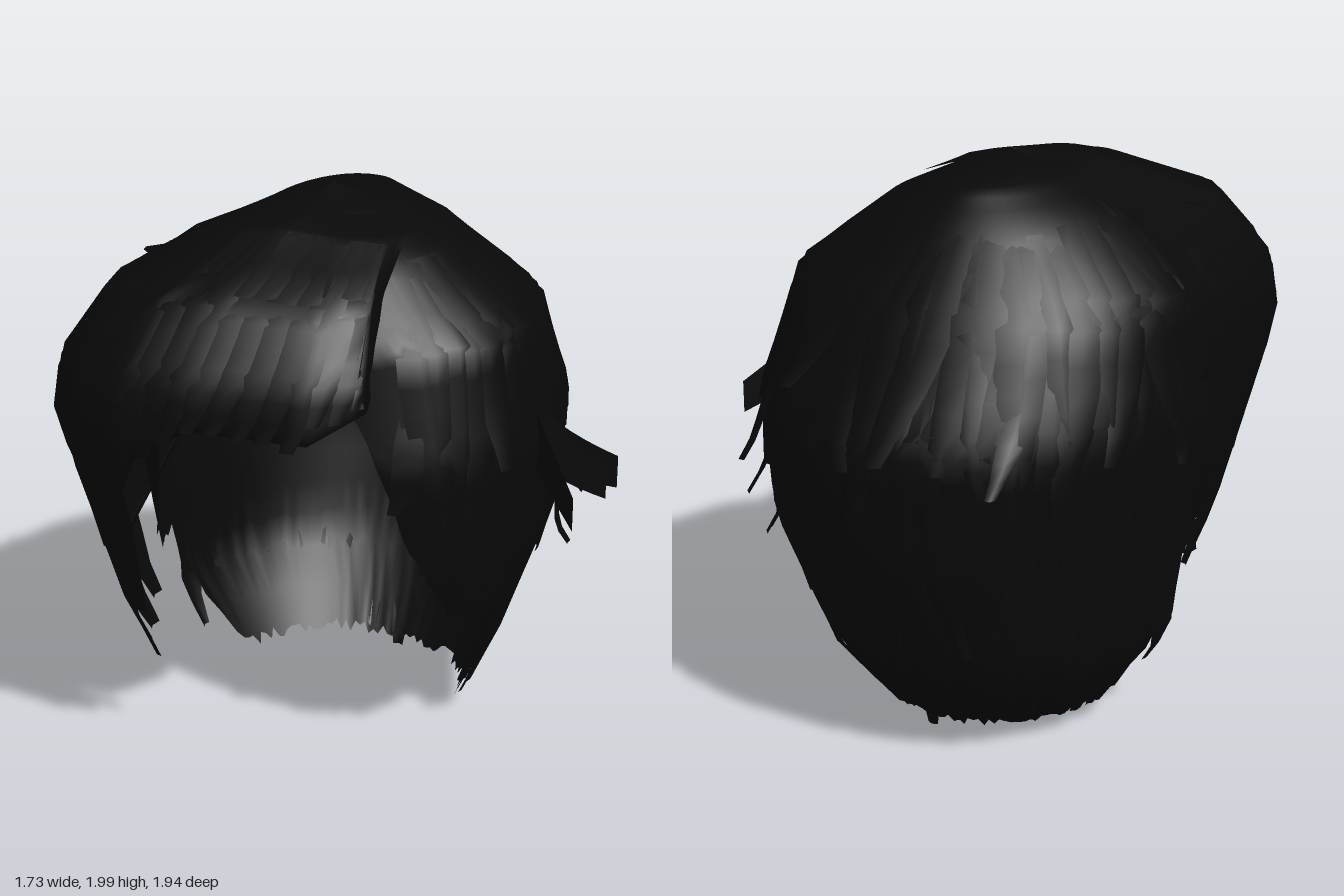
import * as THREE from 'three';

const hair = new THREE.MeshStandardMaterial({ color: 0x080808, side: THREE.DoubleSide });
hair.name = 'black hair';

let seed = 7;
const rand = (a, b) => {
  seed = (seed * 16807) % 2147483647;
  return a + (b - a) * (seed / 2147483647);
};

// Linear interpolation in rows sorted by their first column
function table(rows, k) {
  let i = 0;
  while (i < rows.length - 2 && k > rows[i + 1][0]) i++;
  const a = rows[i], b = rows[i + 1];
  const t = THREE.MathUtils.clamp((k - a[0]) / (b[0] - a[0]), 0, 1);
  return a.slice(1).map((v, j) => v + (b[j + 1] - v) * t);
}

// Smooth sheet through f(u, v), u and v from 0 to 1
function sheet(name, nu, nv, f) {
  const pos = [], idx = [];
  for (let i = 0; i <= nu; i++)
    for (let j = 0; j <= nv; j++) pos.push(...f(i / nu, j / nv).toArray());
  for (let i = 0; i < nu; i++)
    for (let j = 0; j < nv; j++) {
      const a = i * (nv + 1) + j, b = a + nv + 1;
      idx.push(a, a + 1, b, b, a + 1, b + 1);
    }
  const g = new THREE.BufferGeometry();
  g.setAttribute('position', new THREE.Float32BufferAttribute(pos, 3));
  g.setIndex(idx);
  g.computeVertexNormals();
  const m = new THREE.Mesh(g, hair);
  m.name = name;
  return m;
}

// Cap cross-sections: y, right x, left x, back z, front z
const CAP = [
  [0.05, -0.52, 0.34, -0.47, 0.3], [0.35, -0.73, 0.48, -0.75, 0.45], [0.8, -0.77, 0.64, -0.9, 0.6],
  [1.2, -0.83, 0.68, -0.92, 0.64], [1.6, -0.75, 0.61, -0.7, 0.58], [1.84, -0.49, 0.3, -0.48, 0.42],
  [1.95, -0.29, 0.06, -0.33, 0.23], [1.98, -0.1, -0.1, 0, 0],
];
// Lower edge of the cap: degrees away from the front, y
const HEM = [
  [0, 1.45], [28, 1.38], [40, 0.95], [50, 0.76], [60, 0.6],
  [80, 0.6], [87, 0.68], [92, 0.3], [98, 0.08], [180, 0.05],
];
const hemAt = deg => table(HEM, Math.abs(THREE.MathUtils.euclideanModulo(deg + 90, 360) - 180))[0];
const soft = v => Math.sign(v) * Math.abs(v) ** 0.95;

// Point on the cap: angle (0 = left, 90 = front), height, outward lift
function capPoint(deg, y, lift = 0) {
  const [xr, xl, zb, zf] = table(CAP, y);
  const a = THREE.MathUtils.degToRad(deg), c = soft(Math.cos(a)), s = soft(Math.sin(a));
  const k = 1 + lift;
  return new THREE.Vector3((xr + xl) / 2 + (xl - xr) / 2 * c * k, y, (s > 0 ? zf : -zb) * s * k);
}

// Fringe outline from the parting round to the right side: u, x, z, lower edge y
const FRINGE = [
  [0, 0.3, 0.5, 1.6], [0.1, 0.36, 0.68, 1.46], [0.2, 0.22, 0.8, 1.37], [0.4, -0.17, 0.93, 1.4],
  [0.52, -0.4, 0.97, 1.26], [0.62, -0.6, 0.92, 0.95], [0.72, -0.75, 0.78, 0.75], [1, -0.85, 0, 0.95],
];
// How far the fringe reaches out at each height
const REACH = [
  [0.35, 0.68], [0.6, 0.79], [1.2, 0.96], [1.35, 1], [1.55, 0.97], [1.78, 0.8], [1.94, 0.4], [2, 0],
];
// The roots run along the parting, which drops toward the left
function fringePoint(u, y, lift = 0) {
  const [x, z] = table(FRINGE, u);
  const side = y > 1.4 ? Math.max(0, u - 0.6) : 0;
  const k = table(REACH, y)[0] ** (1 + side) * (1 + lift);
  const part = Math.max(0, 1 - 3 * u), x0 = -0.1 + 0.3 * part, z0 = -0.1 * part;
  return new THREE.Vector3(x0 + (x - x0) * k, y - 0.1 * part * Math.max(0, 1 - k), z0 + (z - z0) * k);
}

// Arched lock lying on a surface from y0 to y1, tapering and flaring at its tip
function lock(name, point, at, width, drift, y0, y1, flare, lift = 0.02) {
  return sheet(name, 2, 8, (u, v) => {
    const body = 0.6 + 0.4 * Math.sin(Math.PI * Math.min(1, v + 0.2));
    const w = width * body * (1 - 1.8 * Math.max(0, v - 0.75));
    const arch = (u === 0.5 ? lift : 0.003) * Math.min(1, v * 4);
    return point(at + drift * v * v + (0.5 - u) * w, y0 + (y1 - y0) * v, arch + flare * v ** 4);
  });
}

// Loose flicks: angle, width, drift, start y, end y, flare
const FLICKS = [
  [-30, 12, -2, 1.3, 0.78, 0.16], [-26, 12, -2, 1.1, 0.6, 0.2], [-50, 8, -6, 1.5, 1.05, 0.14],
  [-130, 8, 6, 1.5, 1.1, 0.1], [-72, 12, 0, 1.75, 1.36, 0.14], [135, 18, 10, 1.93, 1.79, 0.42],
  [-176, 12, 2, 1.45, 1.05, 0.06], [-88, 14, 0, 0.4, 0.01, 0],
  [-172, 18, -14, 0.9, 0.2, 0.02], [-8, 14, 8, 0.9, 0.25, 0],
];
// Strands beside the face: place along the fringe, lowest y
const HANGING = [[0.58, 0.62], [0.63, 0.46], [0.68, 0.34], [0.73, 0.42], [0.78, 0.5]];

export function createModel() {
  const model = new THREE.Group();
  model.name = 'hair';

  // Cap with a ragged hem and an open face
  const N = 150;
  const ragged = Array.from({ length: N }, () => rand(-0.02, 0.02));
  model.add(sheet('cap', N, 26, (u, v) => {
    const deg = 180 - 360 * u;
    const hem = Math.max(0.03, hemAt(deg) + ragged[Math.round(u * N) % N]);
    return capPoint(deg, 1.98 + (hem - 1.98) * v ** 1.8);
  }));

  // Swept fringe, rolling under along its short front edge
  model.add(sheet('fringe', 60, 25, (s, v) => {
    const u = 1 - s;
    const t = Math.min(1, v / 0.84), roll = Math.max(0, (v - 0.84) / 0.16);
    const p = fringePoint(u, 2 + (table(FRINGE, u)[2] - 2) * t ** 1.6);
    p.x += roll * (u < 0.2 ? -0.06 : 0.02);
    p.z -= roll * THREE.MathUtils.lerp(0.26, 0.02, THREE.MathUtils.smoothstep(u, 0.35, 0.65)) * Math.min(1, 0.3 + u * 4);
    p.y += 0.03 * (roll - Math.sin(Math.PI * roll));
    return p;
  }));

  // Overlapping locks around the cap, in three layers
  const capLocks = new THREE.Group();
  capLocks.name = 'capLocks';
  for (let i = 0; i < 110; i++) {
    const deg = -200 + 250 * (i / 110) + rand(-3, 3);
    const drift = rand(-9, 9), layer = i % 3;
    const y0 = 1.87 - 0.4 * layer + rand(-0.1, 0.06);
    const y1 = Math.max(hemAt(deg + drift) + 0.01, 1.05 - 0.5 * layer + rand(-0.1, 0.12));
    if (y0 - y1 > 0.2)
      capLocks.add(lock('capLock', capPoint, deg, rand(9, 17), drift, y0, y1, rand(0, 0.04)));
  }
  model.add(capLocks);

  // Locks combed over the fringe
  const fringeLocks = new THREE.Group();
  fringeLocks.name = 'fringeLocks';
  for (let i = 0; i < 22; i++) {
    const u = 0.06 + 0.04 * i;
    const y1 = table(FRINGE, u + 0.05)[2] + rand(-0.03, 0.06);
    fringeLocks.add(lock('fringeLock', fringePoint, u, 0.07, 0.05, 1.93, y1, 0.01, 0.012));
  }
  model.add(fringeLocks);

  // Long strands beside the face and flicks standing off the head
  for (const [u, y] of HANGING) model.add(lock('faceStrand', fringePoint, u, 0.1, 0.02, 1.4, y, 0));
  for (const f of FLICKS) model.add(lock('flick', capPoint, ...f));

  // Upright strands kicking out from the left side
  for (const z of [0.13, -0.18, -0.29])
    model.add(sheet('sideFlick', 1, 6, (u, v) => new THREE.Vector3(
      0.64 + 0.23 * v, 1.26 - 0.26 * v ** 0.8 + (0.5 - u) * (0.22 - 0.1 * v), z * v ** 1.3)));
  return model;
}
